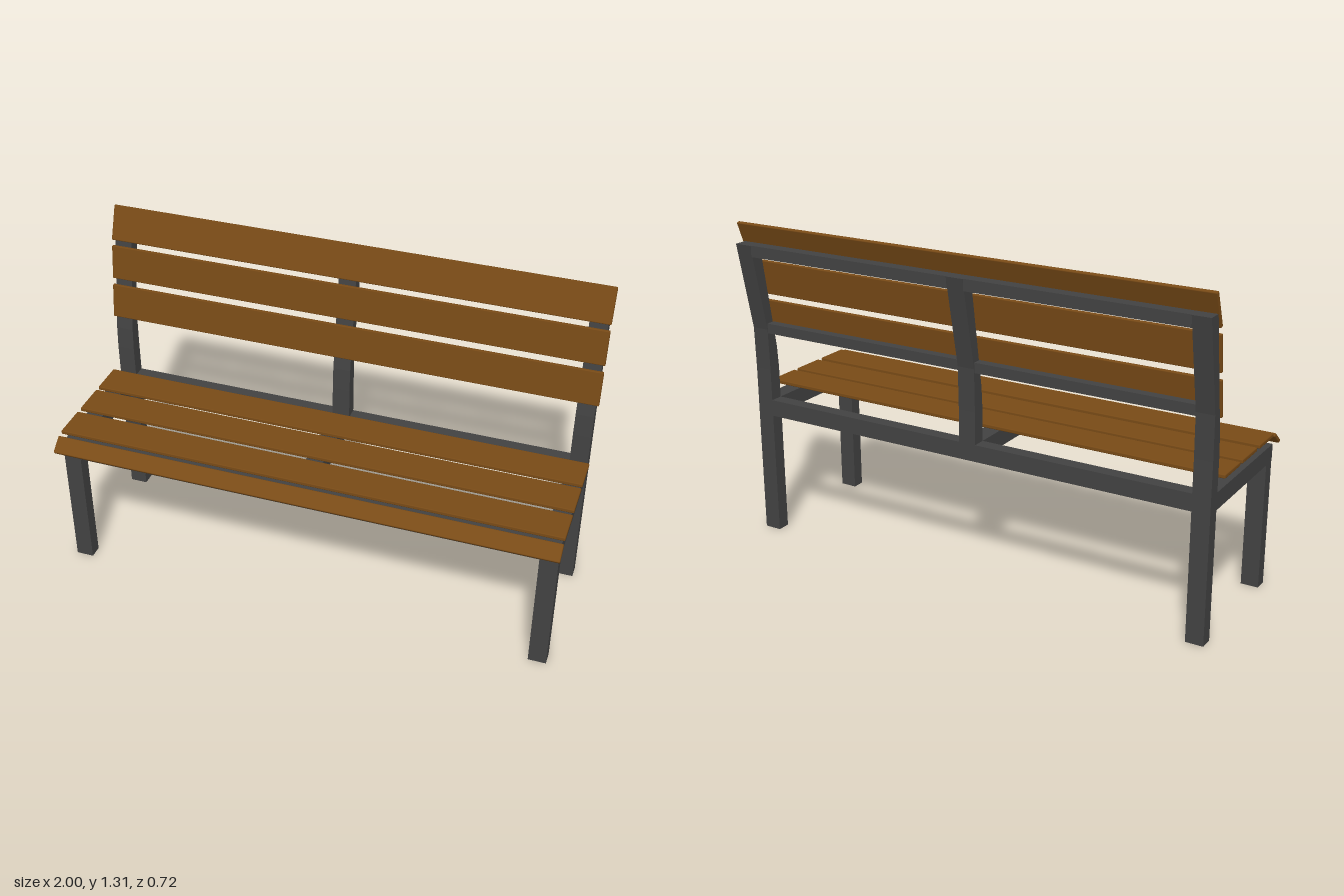
import * as THREE from 'three';
import { RoundedBoxGeometry } from 'three/addons/geometries/RoundedBoxGeometry.js';

const steel = new THREE.MeshStandardMaterial({ color: 0x424242 });
const wood = new THREE.MeshStandardMaterial({ color: 0x784a16 });

const TUBE = 0.07;                      // frame tube width along x
const POSTS = [-0.957, -0.015, 0.95];   // x centres of the three frame bays

// Box given by its min and max corners
function bar(name, [x0, y0, z0], [x1, y1, z1]) {
  const mesh = new THREE.Mesh(new THREE.BoxGeometry(x1 - x0, y1 - y0, z1 - z0), steel);
  mesh.position.set((x0 + x1) / 2, (y0 + y1) / 2, (z0 + z1) / 2);
  mesh.name = name;
  return mesh;
}

// Upright with a bent top, drawn as a side profile of [z, y] and extruded along x
function backPost(name, x, bottom) {
  const profile = [
    [-0.232, bottom], [-0.232, 0.7], [-0.238, 0.79], [-0.307, 1.225],
    [-0.362, 1.225], [-0.289, 0.87], [-0.285, 0.7], [-0.285, bottom],
  ];
  const shape = new THREE.Shape(profile.map(([z, y]) => new THREE.Vector2(-z, y)));
  const geo = new THREE.ExtrudeGeometry(shape, { depth: TUBE, bevelEnabled: false });
  geo.translate(0, 0, -TUBE / 2).rotateY(Math.PI / 2);
  const mesh = new THREE.Mesh(geo, steel);
  mesh.position.x = x;
  mesh.name = name;
  return mesh;
}

// Full-width wooden board with softened edges
function slat(name, height, depth, y, z, tilt = 0) {
  const mesh = new THREE.Mesh(new RoundedBoxGeometry(1.995, height, depth, 1, 0.004), wood);
  mesh.position.set(0, y, z);
  mesh.rotation.x = THREE.MathUtils.degToRad(tilt);
  mesh.name = name;
  return mesh;
}

export function createModel() {
  const bench = new THREE.Group();
  bench.name = 'bench';

  // Steel frame
  const frame = new THREE.Group();
  frame.name = 'frame';
  POSTS.forEach((x, i) => {
    const centre = i === 1;
    const a = x - TUBE / 2, b = x + TUBE / 2;
    frame.add(backPost(centre ? 'centrePost' : 'rearLeg', x, centre ? 0.505 : 0));
    frame.add(bar('seatSupport', [a, 0.505, -0.232], [b, 0.572, centre ? 0.24 : 0.295]));
    if (!centre) frame.add(bar('frontLeg', [a, 0, 0.24], [b, 0.505, 0.292]));
  });

  // Cross rails between neighbouring posts
  for (let i = 0; i < 2; i++) {
    const a = POSTS[i] + TUBE / 2, b = POSTS[i + 1] - TUBE / 2;
    frame.add(bar('rearSeatRail', [a, 0.505, -0.285], [b, 0.572, -0.232]));
    frame.add(bar('middleBackRail', [a, 0.855, -0.287], [b, 0.895, -0.25]));
    frame.add(bar('topBackRail', [a, 1.18, -0.358], [b, 1.225, -0.308]));
  }
  frame.add(bar('frontSeatRail',
    [POSTS[0] + TUBE / 2, 0.505, 0.24], [POSTS[2] - TUBE / 2, 0.572, 0.295]));
  bench.add(frame);

  // Seat boards, the front one tipped down
  const seat = new THREE.Group();
  seat.name = 'seat';
  for (const z of [0.215, 0.05, -0.11]) seat.add(slat('seatSlat', 0.016, 0.14, 0.611, z));
  seat.add(slat('frontEdgeSlat', 0.016, 0.07, 0.584, 0.331, 39));
  bench.add(seat);

  // Backrest boards, leaning further back towards the top
  const backrest = new THREE.Group();
  backrest.name = 'backrest';
  for (const [y, z, tilt] of [[0.916, -0.245, -7.5], [1.081, -0.269, -7.5], [1.239, -0.306, -21]])
    backrest.add(slat('backSlat', 0.14, 0.015, y, z, tilt));
  bench.add(backrest);

  return bench;
}
